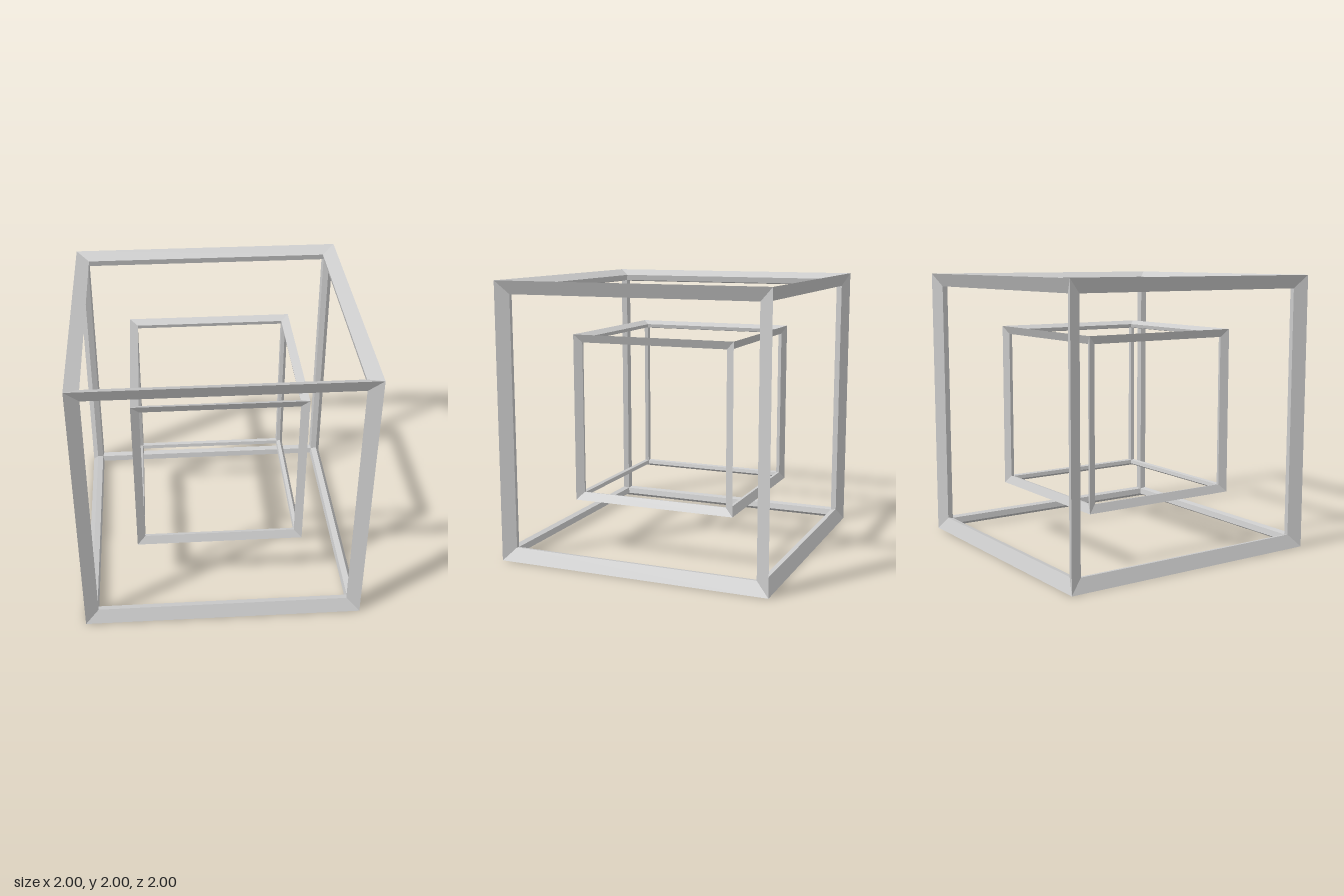
import * as THREE from 'three';

const material = new THREE.MeshStandardMaterial({ color: 0xcccccc, flatShading: true });

// One square side of a unit cage: outer edge, sunken rim, then the inner ridge
function sideGeometry() {
  const profile = [[1, 1], [0.905, 0.957], [0.914, 0.914]]
    .map(([half, height]) => new THREE.Vector2(half * Math.SQRT2, height));
  return new THREE.LatheGeometry(profile, 4, Math.PI / 4);
}

// Rotations that turn the top side to each side of the cube
const sides = {
  top: [0, 0, 0],
  bottom: [Math.PI, 0, 0],
  front: [Math.PI / 2, 0, 0],
  back: [-Math.PI / 2, 0, 0],
  left: [0, 0, -Math.PI / 2],
  right: [0, 0, Math.PI / 2],
};

// Six mitred sides meet along the edges to make twelve closed bars
function cubeFrame(name, halfSize) {
  const frame = new THREE.Group();
  frame.name = name;
  const geometry = sideGeometry();
  for (const [side, rotation] of Object.entries(sides)) {
    const mesh = new THREE.Mesh(geometry, material);
    mesh.name = `${name}${side[0].toUpperCase()}${side.slice(1)}`;
    mesh.rotation.set(...rotation);
    frame.add(mesh);
  }
  frame.scale.setScalar(halfSize);
  frame.position.y = 1;
  return frame;
}

export function createModel() {
  const model = new THREE.Group();
  model.name = 'nestedCubeFrames';
  model.add(cubeFrame('outerFrame', 1), cubeFrame('innerFrame', 0.607));
  return model;
}
